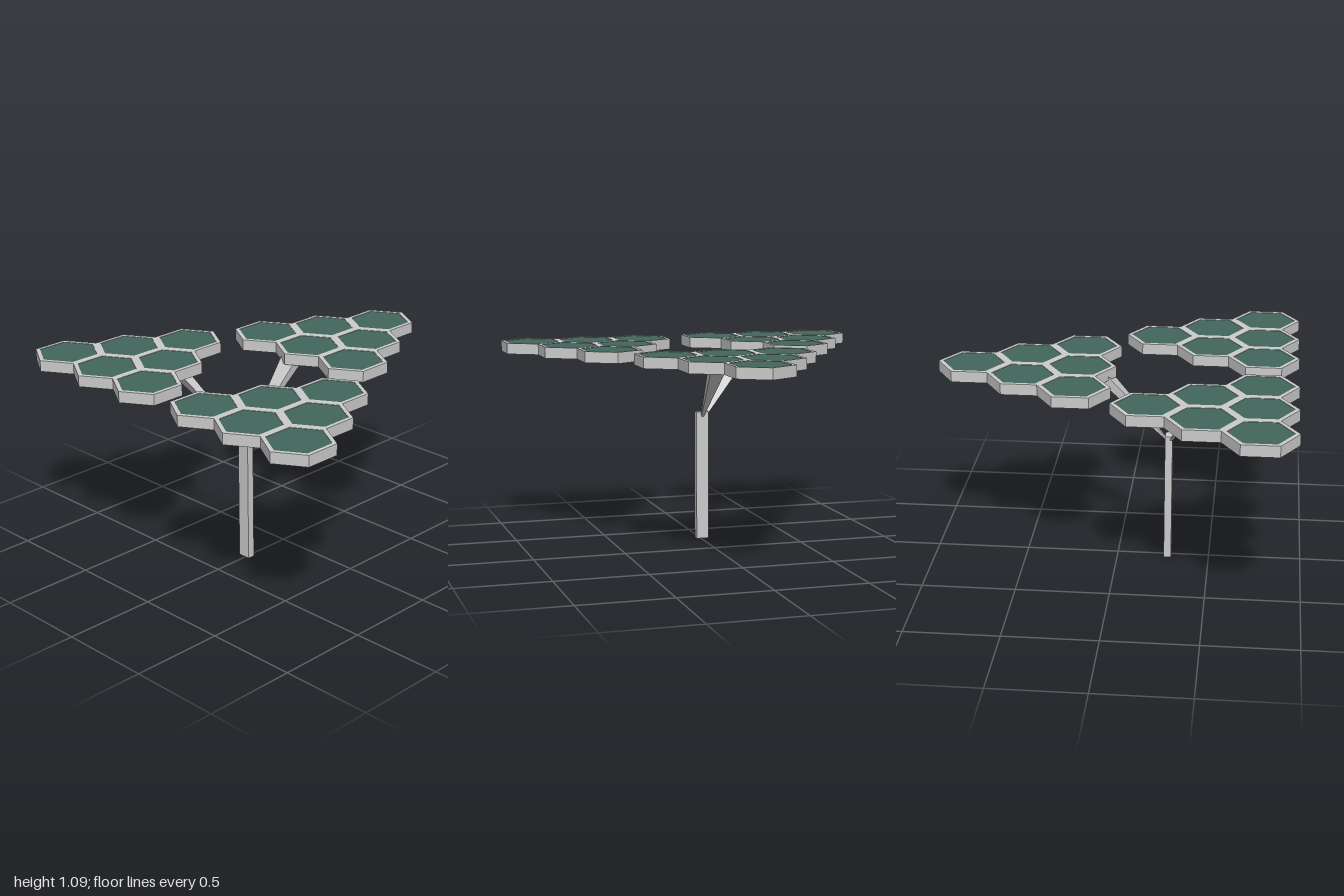
import * as THREE from 'three';

const HALF_W = 0.157, HALF_D = 0.19, ROW = 0.285, DEPTH = 0.06;
const grey = new THREE.MeshStandardMaterial({ color: 0xcccccc, flatShading: true });
const green = new THREE.MeshStandardMaterial({ color: 0x42665d, flatShading: true });

// Hexagon with a corner towards +z and -z
function hexPoints(w, d) {
  return [[0, d], [-w, d / 2], [-w, -d / 2], [0, -d], [w, -d / 2], [w, d / 2]]
    .map(([x, y]) => new THREE.Vector2(x, y));
}

// Extrude a flat shape upwards from y = 0
function slab(shape, depth) {
  return new THREE.ExtrudeGeometry(shape, { depth, bevelEnabled: false }).rotateX(-Math.PI / 2);
}

// Triangle of six cells: one at the back, three at the front
function cluster(name, x, y, z, frameGeo, panelGeo) {
  const group = new THREE.Group();
  group.name = name;
  group.position.set(x, y, z);
  for (let row = 0; row < 3; row++) {
    for (let i = 0; i <= row; i++) {
      const frame = new THREE.Mesh(frameGeo, grey);
      frame.name = 'cellFrame';
      const panel = new THREE.Mesh(panelGeo, green);
      panel.name = 'cellPanel';
      for (const m of [frame, panel]) {
        m.position.x = (2 * i - row) * HALF_W;
        m.position.z = (row - 1) * ROW;
        group.add(m);
      }
      panel.position.y = DEPTH - 0.012;
    }
  }
  return group;
}

// Tapered strut between two level rectangles [x, y, z, width, depth]
function strut(name, a, b) {
  const geo = new THREE.BoxGeometry(1, 1, 1);
  const p = geo.attributes.position;
  for (let i = 0; i < p.count; i++) {
    const e = p.getY(i) > 0 ? b : a;
    p.setXYZ(i, e[0] + p.getX(i) * e[3], e[1], e[2] + p.getZ(i) * e[4]);
  }
  geo.computeVertexNormals();
  const mesh = new THREE.Mesh(geo, grey);
  mesh.name = name;
  return mesh;
}

export function createModel() {
  const model = new THREE.Group();
  model.name = 'hexagonPanelTree';

  // Open hexagonal frames and the panels closing them near the top
  const outer = new THREE.Shape(hexPoints(HALF_W, HALF_D));
  outer.holes.push(new THREE.Path(hexPoints(HALF_W - 0.02, HALF_D - 0.025).reverse()));
  const frameGeo = slab(outer, DEPTH);
  const panelGeo = slab(new THREE.Shape(hexPoints(HALF_W - 0.018, HALF_D - 0.023)), 0.01);
  model.add(
    cluster('backCluster', 0, 1.03, -0.485, frameGeo, panelGeo),
    cluster('rightCluster', -0.53, 1.03, 0.48, frameGeo, panelGeo),
    cluster('leftCluster', 0.53, 1.026, 0.48, frameGeo, panelGeo)
  );

  // Post
  const post = new THREE.Mesh(new THREE.BoxGeometry(0.07, 0.715, 0.04), grey);
  post.name = 'post';
  post.position.set(-0.01, 0.3575, 0.275);
  model.add(post);

  // Struts widening from the post up to the panels
  model.add(
    strut('backStrut', [-0.01, 0.68, 0.27, 0.012, 0.012], [-0.01, 1.078, -0.11, 0.11, 0.08]),
    strut('rightStrut', [-0.025, 0.68, 0.28, 0.012, 0.012], [-0.345, 1.078, 0.485, 0.11, 0.065])
  );
  return model;
}
